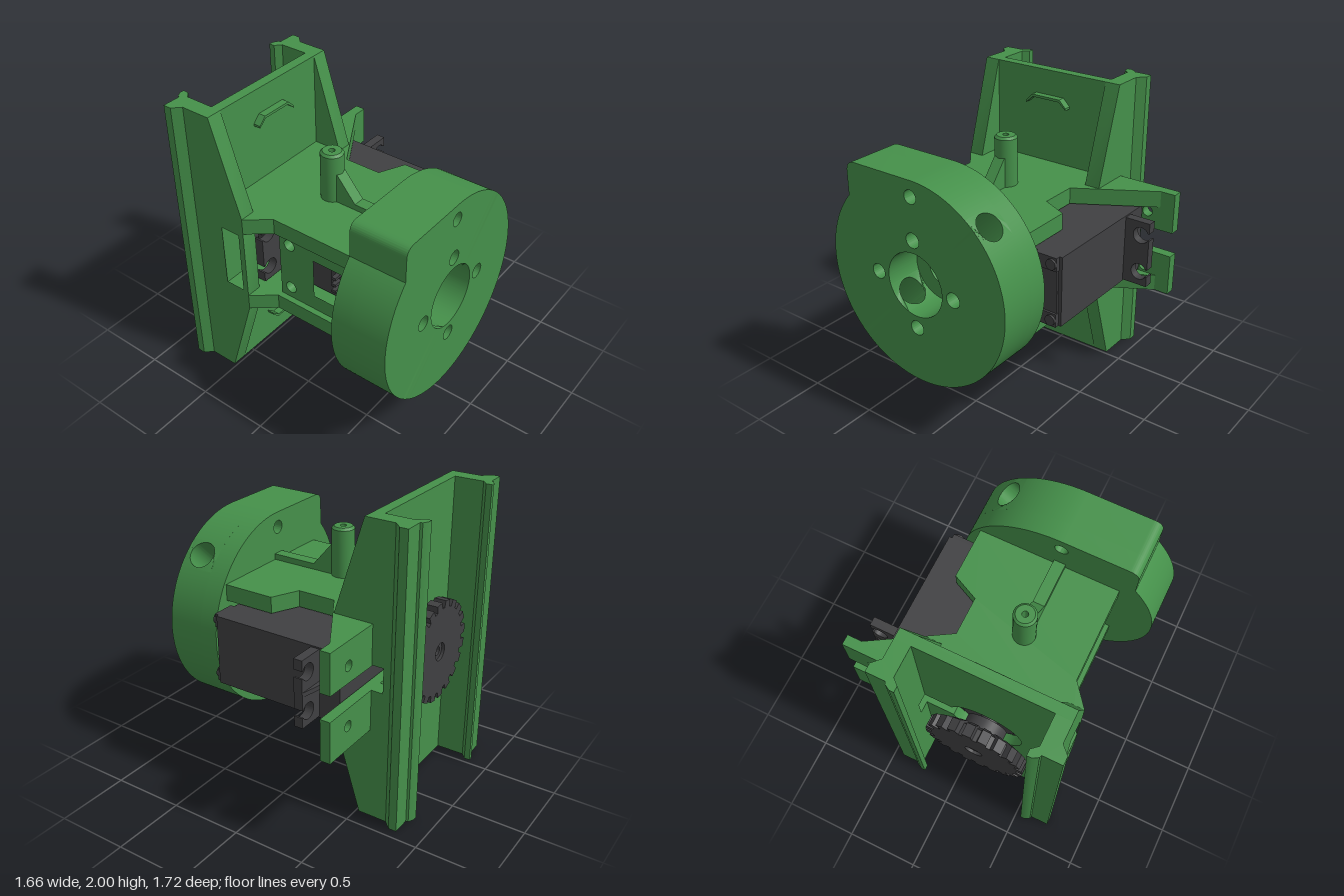
import * as THREE from 'three';
import { toCreasedNormals } from 'three/addons/utils/BufferGeometryUtils.js';

const green = new THREE.MeshStandardMaterial({ color: 0x45904a });
const dark = new THREE.MeshStandardMaterial({ color: 0x404042 });
const CX = -0.15, CY = 1; // main axis, running along z
const R = 0.685, RI = 0.215; // flange and recess radii

export function createModel() {
  const model = new THREE.Group();
  const add = (name, geo, mat = green, parent = model) => {
    const m = new THREE.Mesh(toCreasedNormals(geo, 0.6), mat);
    m.name = name;
    parent.add(m);
    return m;
  };
  const poly = pts => new THREE.Shape(pts.map(p => new THREE.Vector2(...p)));
  const circle = (x, y, r) => new THREE.Path().absarc(x, y, r, 0, Math.PI * 2);
  const extrude = (shape, depth, holes = []) => {
    shape.holes.push(...holes);
    return new THREE.ExtrudeGeometry(shape, { depth, bevelEnabled: false, curveSegments: 40 });
  };
  // prisms along z (x,y outline), y (x,z outline) and x (z,y outline)
  const slabZ = (shape, z0, z1, holes) => extrude(shape, z1 - z0, holes).translate(0, 0, z0);
  const slabY = (pts, y0, y1) =>
    extrude(poly(pts.map(([x, z]) => [x, -z])), y1 - y0).rotateX(-Math.PI / 2).translate(0, y0, 0);
  const slabX = (pts, x0, x1, holes) =>
    extrude(poly(pts.map(([z, y]) => [-z, y])), x1 - x0, holes).rotateY(Math.PI / 2).translate(x0, 0, 0);
  const box = (x0, x1, y0, y1, z0, z1) => new THREE.BoxGeometry(x1 - x0, y1 - y0, z1 - z0)
    .translate((x0 + x1) / 2, (y0 + y1) / 2, (z0 + z1) / 2);
  const rodZ = (x, y, r0, r1, z0, z1, n = 32) => new THREE.CylinderGeometry(r1, r0, z1 - z0, n)
    .rotateX(Math.PI / 2).translate(x, y, (z0 + z1) / 2);
  const flipY = (pts, s) => pts.map(([a, y]) => [a, 1 + s * (y - 1)]);

  // --- round flange, drawn about its own axis ---
  const flange = new THREE.Group();
  flange.name = 'roundFlange';
  flange.position.set(CX, CY, 0);
  model.add(flange);
  const q = Math.PI / 4, W = 0.1, a = Math.asin(W / R), b = Math.asin(W / RI);
  const tabAngle = Math.acos(-0.51 / R);
  const cornerTab = s => s.lineTo(-0.44, R).quadraticCurveTo(-0.51, R, -0.51, R - 0.07)
    .lineTo(-0.51, R * Math.sin(tabAngle));
  const topHole = () => circle(0, 0.58, 0.045);

  // back layer with keyed bore
  const back = new THREE.Shape().absarc(0, 0, R, -q * 2, q * 2);
  cornerTab(back).absarc(0, 0, R, tabAngle, q * 6);
  const k = Math.asin(0.04 / 0.105);
  const bore = new THREE.Path().absarc(0, 0, 0.105, q * 2 + k, q * 10 - k);
  bore.lineTo(0.04, 0.14).lineTo(-0.04, 0.14);
  add('flangeBack', slabZ(back, 0.48, 0.61, [bore, topHole()]), green, flange);

  // front layer in two halves around the recess
  const lower = new THREE.Shape().absarc(0, 0, R, -3 * q + a, q - a)
    .absarc(0, 0, RI, q - b, -3 * q + b, true);
  add('flangeFrontLower', slabZ(lower, 0.61, 0.86,
    [circle(0.3, 0, 0.05), circle(0, -0.3, 0.05)]), green, flange);
  const upper = new THREE.Shape().absarc(0, 0, R, q + a, 2 * q);
  cornerTab(upper).absarc(0, 0, R, tabAngle, 5 * q - a).absarc(0, 0, RI, 5 * q - b, q + b, true);
  add('flangeFrontUpper', slabZ(upper, 0.61, 0.86,
    [circle(-0.3, 0, 0.05), circle(0, 0.3, 0.05), topHole()]), green, flange);

  // curved blocks carrying the radial screw hole
  for (const angle of [q, 5 * q]) {
    const outline = [];
    for (let i = 0; i <= 8; i++) outline.push([-W + i * W / 4, -0.125]);
    for (let i = 8; i >= 0; i--) outline.push([-W + i * W / 4, 0.125]);
    const g = extrude(poly(outline), 1, [circle(0, 0, 0.09)]);
    const p = g.attributes.position, c = Math.cos(angle), s = Math.sin(angle);
    for (let i = 0; i < p.count; i++) {
      const u = p.getX(i), w = p.getY(i), t = p.getZ(i);
      const r = THREE.MathUtils.lerp(Math.sqrt(RI * RI - u * u), Math.sqrt(R * R - u * u), t);
      p.setXYZ(i, r * c - u * s, r * s + u * c, 0.735 + w);
    }
    g.computeVertexNormals();
    add('radialHoleBlock', g, green, flange);
  }

  // --- motor housing ---
  const wall = [[-0.565, 0.48], [-0.565, -0.17], [-0.685, -0.32], [-0.685, -0.52], [0.73, -0.52],
    [0.23, -0.22], [0.23, 0.04], [0.41, 0.125], [0.41, 0.48]];
  add('housingTop', slabY(wall, 1.25, 1.36));
  add('housingBottom', slabY(wall, 0.64, 0.75));
  const windowPath = (z0, z1, y0, y1) =>
    new THREE.Path([[-z0, y0], [-z1, y0], [-z1, y1], [-z0, y1]].map(v => new THREE.Vector2(...v)));
  add('housingSide', slabX([[0.48, 0.75], [0.48, 1.25], [-0.17, 1.25], [-0.17, 0.75]], -0.525, -0.38,
    [windowPath(0.1, 0.36, 0.86, 1.14), circle(0.09, 0.83, 0.04), circle(0.09, 1.17, 0.04)]));

  // gussets and guide posts above and below
  for (const s of [1, -1]) {
    add('gusset', slabX(flipY([[0.48, 1.35], [0.48, 1.4], [0.165, 1.4], [0.03, 1.56], [-0.02, 1.56],
      [-0.02, 1.35]], s), -0.19, -0.11));
    const profile = [[0.075, 0], [0.075, 0.33], [0.06, 0.345], [0.02, 0.345], [0.02, 0.25], [0, 0.25]];
    const post = new THREE.LatheGeometry(profile.map(v => new THREE.Vector2(...v)), 32);
    if (s < 0) post.rotateX(Math.PI);
    add('guidePost', post.translate(CX, 1 + s * 0.35, -0.04));
  }

  // --- slide plate with motor tabs ---
  const plate = poly([[-0.685, 0], [0.385, 0], [0.385, 0.64], [0.83, 0.64], [0.83, 0.92], [0.085, 0.92]]);
  const h = Math.asin(0.08 / 0.25);
  plate.absarc(CX, CY, 0.25, -h, h - Math.PI * 2, true);
  [[0.83, 1.09], [0.83, 1.36], [0.385, 1.36], [0.385, 2], [-0.685, 2]].forEach(v => plate.lineTo(...v));
  add('slidePlate', slabZ(plate, -0.59, -0.52, [circle(0.64, 0.8, 0.035), circle(0.64, 1.2, 0.035)]));

  // hooked rails; the left one is notched beside the gear hub
  const hook = [[-0.685, -0.72], [-0.735, -0.77], [-0.735, -0.825], [-0.61, -0.825], [-0.605, -0.84],
    [-0.57, -0.86], [-0.54, -0.86], [-0.54, -0.82], [-0.58, -0.785]];
  const rail = z => [[-0.685, z], ...hook, [-0.58, z]];
  const mirror = pts => pts.map(([x, z]) => [2 * CX - x, z]);
  add('rightRail', slabY(rail(-0.59), 0, 2));
  add('leftRailLower', slabY(mirror(rail(-0.59)), 0, 0.92));
  add('leftRailMiddle', slabY(mirror(rail(-0.67)), 0.92, 1.09));
  add('leftRailUpper', slabY(mirror(rail(-0.59)), 1.09, 2));

  // side webs
  add('rightWeb', slabX([[-0.52, 0], [-0.32, 0.64], [-0.32, 1.36], [-0.52, 2]], -0.685, -0.58,
    [windowPath(-0.5, -0.36, 0.78, 1.22)]));
  for (const s of [1, -1]) {
    add('leftWeb', slabX(flipY([[-0.52, 2], [-0.32, 1.36], [-0.32, 1.25], [-0.52, 1.25]], s), 0.28, 0.385));
    // raised cable loops
    const loop = [[-0.31, 1.765], [-0.31, 1.78], [-0.26, 1.83], [-0.04, 1.83], [0.01, 1.78], [0.01, 1.765],
      [-0.045, 1.813], [-0.255, 1.813]];
    add('cableLoop', slabZ(poly(flipY(loop, s)), -0.52, -0.47));
  }

  // --- motor ---
  const motor = new THREE.Group();
  motor.name = 'motor';
  model.add(motor);
  add('motorCase', box(-0.36, 0.605, 0.765, 1.235, -0.51, 0.405), dark, motor);
  add('motorCap', box(-0.33, 0.58, 0.775, 1.225, 0.4, 0.42), dark, motor);
  for (const s of [1, -1]) {
    add('motorFoot', box(0.43, 0.585, 1 + s * 0.19 - 0.045, 1 + s * 0.19 + 0.045, 0.4, 0.435), dark, motor);
    add('motorScrew', rodZ(0.55, 1 + s * 0.19, 0.035, 0.035, 0.43, 0.45, 20), dark, motor);
    // mounting ears with open screw slots, one at each end
    const ear = new THREE.Shape();
    ear.moveTo(0, -0.225).lineTo(0.18, -0.225).lineTo(0.18, -0.155).lineTo(0.17, -0.155);
    ear.absarc(0.12, -0.13, 0.055, -0.47, 0.47, true).lineTo(0.18, -0.105);
    ear.lineTo(0.18, 0.105).lineTo(0.17, 0.105);
    ear.absarc(0.12, 0.13, 0.055, -0.47, 0.47, true).lineTo(0.18, 0.155);
    ear.lineTo(0.18, 0.225).lineTo(0, 0.225);
    const g = slabZ(ear, -0.03, 0.03);
    if (s < 0) g.rotateZ(Math.PI);
    add('mountingEar', g.translate(s > 0 ? 0.6 : -0.355, CY, -0.335), dark, motor);
  }
  add('earRib', slabY([[0.6, -0.405], [0.78, -0.365], [0.6, -0.365]], 0.985, 1.015), dark, motor);
  add('shaftCollar', rodZ(CX, CY, 0.19, 0.19, -0.54, -0.5), dark, motor);
  add('connector', box(-0.44, -0.36, 0.92, 1.08, 0.17, 0.3), dark, motor);
  for (let i = -1; i <= 1; i++)
    add('connectorPin', box(-0.5, -0.43, 0.99 + i * 0.05, 1.01 + i * 0.05, 0.22, 0.25), dark, motor);

  // --- output gear ---
  const gear = new THREE.Group();
  gear.name = 'gear';
  gear.position.set(CX, CY, 0);
  model.add(gear);
  const teeth = () => {
    const pts = [], n = 20;
    for (let i = 0; i < n; i++)
      for (const [f, r] of [[0, 0.295], [0.3, 0.295], [0.36, 0.34], [0.92, 0.34]]) {
        const t = (i + f) / n * Math.PI * 2;
        pts.push([r * Math.cos(t), r * Math.sin(t)]);
      }
    return poly(pts);
  };
  add('gearTeeth', slabZ(teeth(), -0.77, -0.69, [circle(0, 0, 0.06)]), dark, gear);
  const bevel = slabZ(teeth(), -0.69, -0.66);
  const bp = bevel.attributes.position;
  for (let i = 0; i < bp.count; i++)
    if (bp.getZ(i) > -0.675) bp.setXY(i, bp.getX(i) * 0.75, bp.getY(i) * 0.75);
  bevel.computeVertexNormals();
  add('gearBevel', bevel, dark, gear);
  add('gearHub', rodZ(0, 0, 0.135, 0.135, -0.67, -0.57), dark, gear);
  add('gearShaft', rodZ(0, 0, 0.06, 0.06, -0.6, -0.5, 20), dark, gear);
  add('gearScrew', slabZ(new THREE.Shape().absarc(0, 0, 0.06, 0, Math.PI * 2), -0.75, -0.68,
    [circle(0, 0, 0.03)]), dark, gear);
  return model;
}
